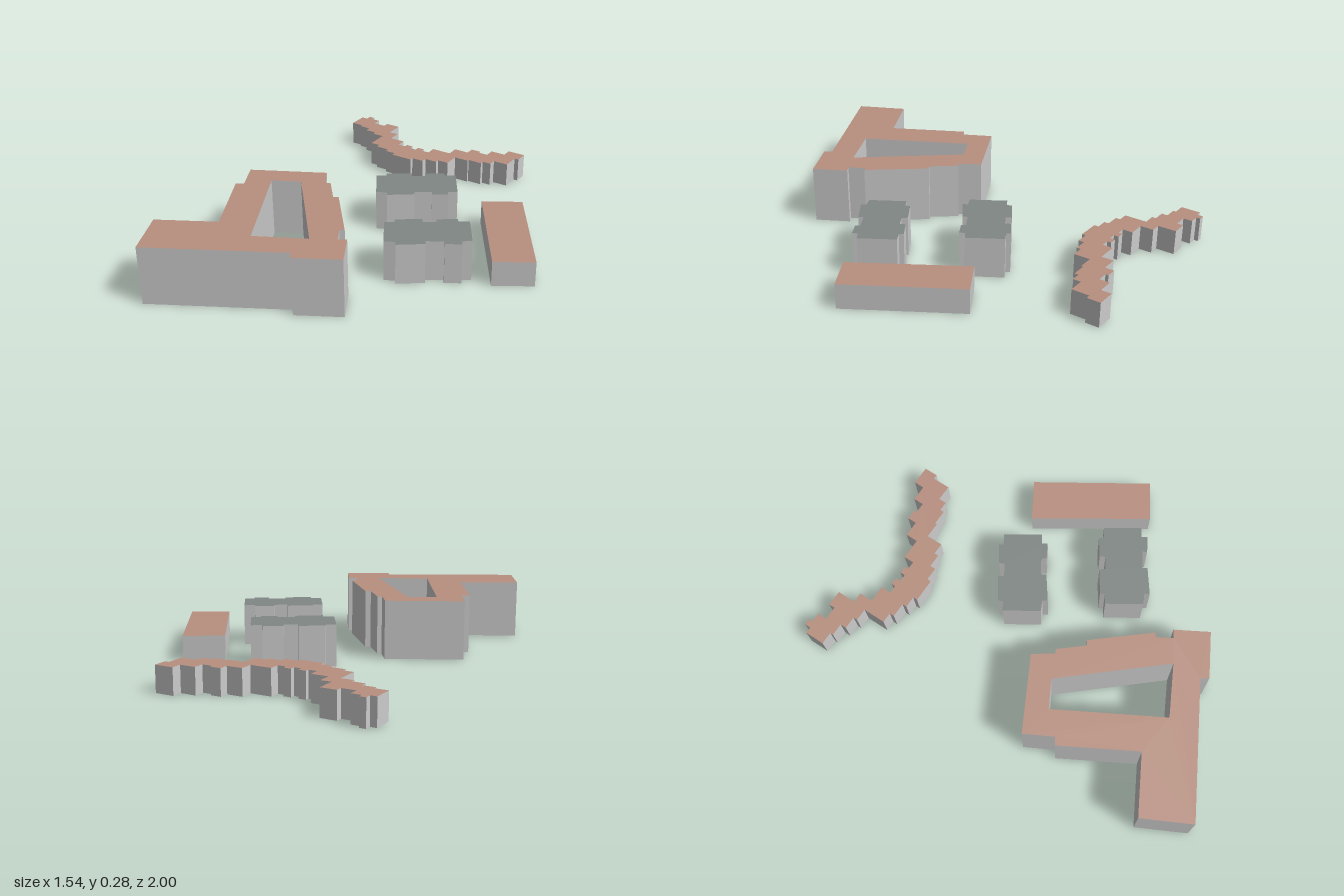
import * as THREE from 'three';

const wallMat = new THREE.MeshStandardMaterial({ color: 0xcccccc, side: THREE.DoubleSide });
const brickRoof = new THREE.MeshStandardMaterial({ color: 0xb89080, side: THREE.DoubleSide });
const slateRoof = new THREE.MeshStandardMaterial({ color: 0x808784, side: THREE.DoubleSide });

// Vertical walls along a closed [x, z] outline, facing outward, open below
function wallGeometry(loops, height) {
  const pos = [];
  for (const loop of loops) {
    loop.forEach(([ax, az], i) => {
      const [bx, bz] = loop[(i + 1) % loop.length];
      pos.push(ax, 0, az, ax, height, az, bx, height, bz);
      pos.push(ax, 0, az, bx, height, bz, bx, 0, bz);
    });
  }
  const geo = new THREE.BufferGeometry();
  geo.setAttribute('position', new THREE.Float32BufferAttribute(pos, 3));
  geo.computeVertexNormals();
  return geo;
}

// Flat-roofed block: outline runs clockwise seen from above, courtyard the other way
function building(name, outline, height, roofMat, courtyard) {
  const toPoints = loop => loop.map(([x, z]) => new THREE.Vector2(x, -z));
  const shape = new THREE.Shape(toPoints(outline));
  if (courtyard) shape.holes.push(new THREE.Path(toPoints(courtyard)));

  const roof = new THREE.Mesh(new THREE.ShapeGeometry(shape).rotateX(-Math.PI / 2), roofMat);
  roof.position.y = height;
  roof.name = name + 'Roof';

  const loops = courtyard ? [outline, courtyard] : [outline];
  const walls = new THREE.Mesh(wallGeometry(loops, height), wallMat);
  walls.name = name + 'Walls';

  const group = new THREE.Group();
  group.name = name;
  group.add(walls, roof);
  return group;
}

// Stepped facade: each [u, v] starts a straight run at depth v that lasts to the next u
function staircase(steps, end) {
  return steps.flatMap(([u, v], i) => [[u, v], [i + 1 < steps.length ? steps[i + 1][0] : end, v]]);
}

export function createModel() {
  const model = new THREE.Group();
  model.name = 'buildingComplex';

  // Large block around a wedge-shaped courtyard
  const mainOutline = [
    [-0.31, 0.04], [-0.262, 0.14], [-0.243, 0.13], [-0.168, 0.25], [-0.145, 0.24], [0.02, 0.505],
    [0, 0.515], [0.03, 0.59], [0.066, 0.573], [0.128, 0.73], [-0.075, 0.806], [-0.093, 0.77],
    [-0.695, 0.995], [-0.773, 0.765], [-0.505, 0.665], [-0.64, 0.314], [-0.605, 0.298], [-0.655, 0.16],
  ];
  const courtyard = [[-0.505, 0.22], [-0.315, 0.715], [-0.08, 0.635], [-0.375, 0.172]];
  model.add(building('courtyardBlock', mainOutline, 0.275, brickRoof, courtyard));

  // Low rectangular hall
  const hall = [[0.355, -0.275], [0.535, -0.35], [0.77, 0.17], [0.595, 0.245]];
  model.add(building('lowHall', hall, 0.12, brickRoof));

  // Pair of identical apartment blocks
  const apartment = [
    [-0.155, -0.18], [-0.113, -0.2], [-0.12, -0.222], [-0.01, -0.275], [0.003, -0.25], [0.06, -0.275],
    [0.05, -0.3], [0.135, -0.342], [0.145, -0.322], [0.193, -0.342], [0.267, -0.18], [0.225, -0.16],
    [0.238, -0.135], [0.167, -0.107], [0.158, -0.128], [0.082, -0.095], [0.092, -0.073],
    [-0.023, -0.012], [-0.032, -0.035], [-0.082, -0.02],
  ];
  [[0, 0], [0.232, 0.415]].forEach(([dx, dz], i) => {
    const outline = apartment.map(([x, z]) => [x + dx, z + dz]);
    model.add(building(i ? 'frontApartments' : 'rearApartments', outline, 0.195, slateRoof));
  });

  // Winding terrace row, stepped on both sides in a frame turned by 8 degrees
  const back = staircase([
    [-0.75, -0.88], [-0.72, -0.91], [-0.69, -0.89], [-0.645, -0.845], [-0.58, -0.875], [-0.505, -0.785],
    [-0.455, -0.72], [-0.375, -0.67], [-0.335, -0.69], [-0.3, -0.665], [-0.265, -0.69], [-0.23, -0.67],
    [-0.19, -0.72], [-0.09, -0.78], [-0.015, -0.825], [0.035, -0.81], [0.085, -0.86], [0.16, -0.91],
  ], 0.25);
  const front = staircase([
    [-0.75, -0.785], [-0.69, -0.77], [-0.63, -0.74], [-0.57, -0.72], [-0.51, -0.61], [-0.46, -0.587],
    [-0.39, -0.565], [-0.335, -0.543], [-0.223, -0.562], [-0.16, -0.59], [-0.096, -0.611],
    [-0.04, -0.69], [0.035, -0.7], [0.107, -0.72], [0.152, -0.758], [0.228, -0.844],
  ], 0.25);
  const c = Math.cos(Math.PI * 8 / 180), s = Math.sin(Math.PI * 8 / 180);
  const terrace = [...back, ...front.reverse()].map(([u, v]) => [c * u - s * v, s * u + c * v]);
  model.add(building('terraceRow', terrace, 0.12, brickRoof));

  return model;
}
